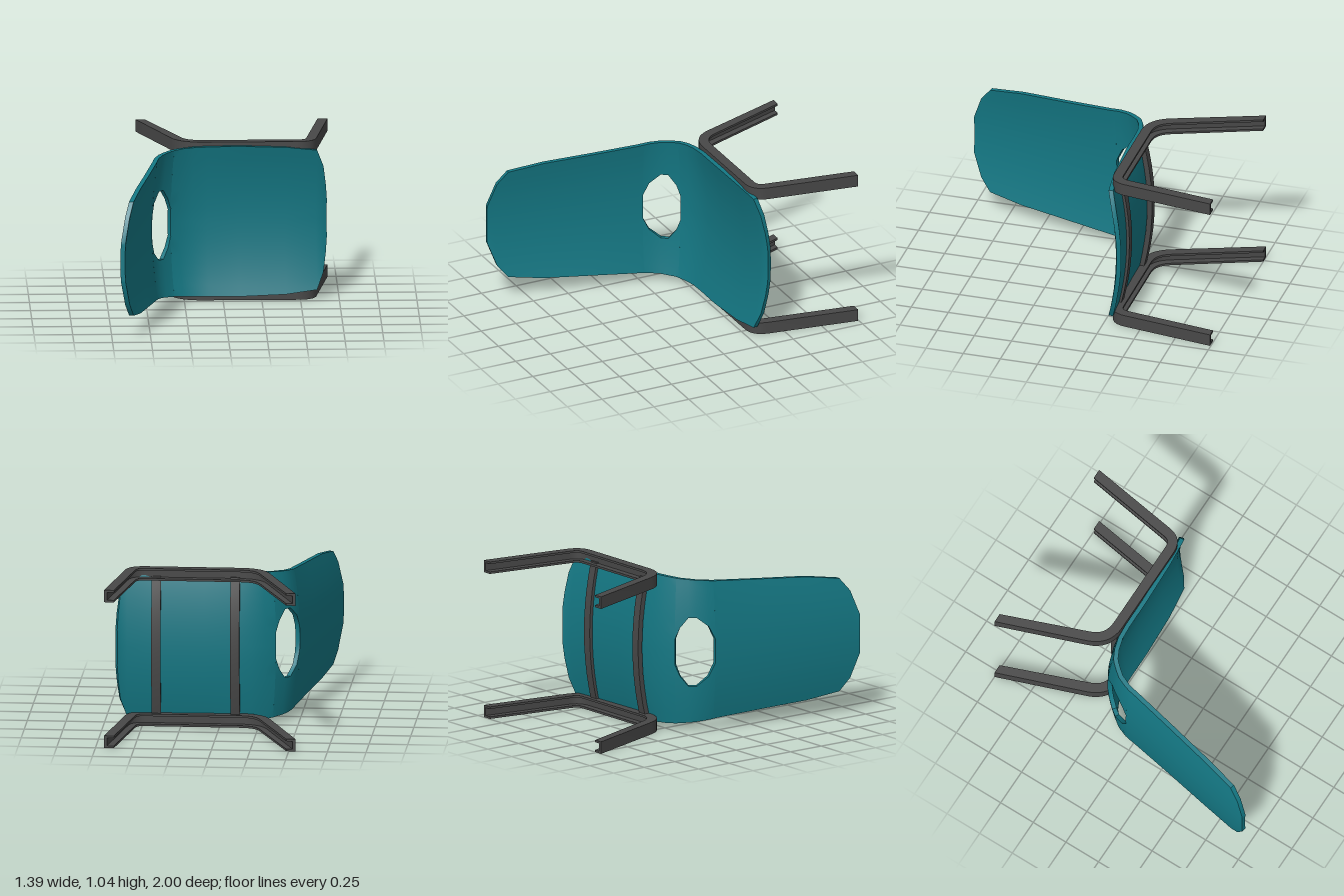
import * as THREE from 'three';
import { toCreasedNormals } from 'three/addons/utils/BufferGeometryUtils.js';

const MID = 0.525; // height of the plane of symmetry
const THICK = 0.03;

const teal = new THREE.MeshStandardMaterial({ color: 0x147884 });
const dark = new THREE.MeshStandardMaterial({ color: 0x484848 });

// Shell sections from top of backrest to front lip:
// x, z of the centre line, half width, dish factor, half width of the hole
const SECTIONS = [
  [-0.67, 1.0, 0.13, 0.25, 0],
  [-0.658, 0.94, 0.29, 0.25, 0],
  [-0.645, 0.87, 0.375, 0.25, 0],
  [-0.6, 0.64, 0.41, 0.24, 0],
  [-0.535, 0.32, 0.432, 0.22, 0],
  [-0.472, 0.01, 0.455, 0.19, 0],
  [-0.466, -0.02, 0.458, 0.18, 0.08],
  [-0.455, -0.06, 0.463, 0.17, 0.165],
  [-0.425, -0.13, 0.47, 0.16, 0.227],
  [-0.395, -0.17, 0.475, 0.16, 0.227],
  [-0.36, -0.21, 0.479, 0.16, 0.16],
  [-0.34, -0.23, 0.482, 0.165, 0.085],
  [-0.28, -0.265, 0.487, 0.18, 0],
  [-0.2, -0.293, 0.49, 0.2, 0],
  [-0.1, -0.308, 0.493, 0.23, 0],
  [0.1, -0.316, 0.495, 0.26, 0],
  [0.4, -0.325, 0.485, 0.26, 0],
  [0.6, -0.336, 0.46, 0.24, 0],
  [0.64, -0.345, 0.35, 0.24, 0],
  [0.66, -0.353, 0.22, 0.24, 0],
  [0.67, -0.358, 0.12, 0.24, 0],
];

// Unit normals of an open polyline, turned left of its direction
function polyNormals(pts) {
  const dirs = pts.slice(1).map((p, i) => p.clone().sub(pts[i]).normalize());
  return pts.map((p, i) => {
    const t = dirs[Math.max(i - 1, 0)].clone().add(dirs[Math.min(i, dirs.length - 1)]).normalize();
    return new THREE.Vector2(-t.y, t.x);
  });
}

// One-piece seat and backrest, dished across its width, with an opening in the bend
function makeShell() {
  const normals = polyNormals(SECTIONS.map(([x, z]) => new THREE.Vector2(x, z)));
  const rows = [];
  SECTIONS.forEach(([x, z, w, k, h], i) => {
    const row = { x, z, w, k, h, n: normals[i] };
    // A closed twin of the first and last hole section gives the hole blunt ends
    if (h && !SECTIONS[i - 1][4]) rows.push({ ...row, h: 0 });
    rows.push(row);
    if (h && !SECTIONS[i + 1][4]) rows.push({ ...row, h: 0 });
  });

  const COLS = 7;
  const pos = [];
  for (const side of [1, -1]) {
    const point = (i, j, back) => {
      const { x, z, w, k, h, n } = rows[i];
      const v = h + (w - h) * j / COLS;
      const off = k * v * v - (back ? THICK : 0);
      return [x + n.x * off, MID + side * v, z + n.y * off];
    };
    const quad = (a, b, c, d, flip) => {
      const order = flip === (side > 0) ? [a, d, c, a, c, b] : [a, b, c, a, c, d];
      order.forEach(p => pos.push(...p));
    };
    const last = rows.length - 1;
    for (let i = 0; i < last; i++) {
      for (let j = 0; j < COLS; j++) {
        for (const back of [false, true]) {
          quad(point(i, j, back), point(i + 1, j, back),
            point(i + 1, j + 1, back), point(i, j + 1, back), back);
        }
      }
      // Outer rim, and hole rim where there is a hole
      const rim = (j, flip) => quad(point(i, j, true), point(i, j, false),
        point(i + 1, j, false), point(i + 1, j, true), flip);
      rim(COLS, false);
      if (rows[i].h || rows[i + 1].h) rim(0, true);
    }
    // End edges at the backrest top and the front lip
    for (let j = 0; j < COLS; j++) {
      for (const i of [0, last]) {
        quad(point(i, j, true), point(i, j + 1, true),
          point(i, j + 1, false), point(i, j, false), i === 0);
      }
    }
  }
  const geo = new THREE.BufferGeometry();
  geo.setAttribute('position', new THREE.Float32BufferAttribute(pos, 3));
  const mesh = new THREE.Mesh(toCreasedNormals(geo, 0.6), teal);
  mesh.name = 'seatShell';
  return mesh;
}

// Bent leg outline in plan: straight leg, round bend, rail under the seat, bend, leg
function legOutline() {
  const c = [[-0.545, -1], [-0.28, -0.285], [0.589, -0.285], [0.695, -0.995]]
    .map(p => new THREE.Vector2(...p));
  const path = new THREE.Path().moveTo(c[0].x, c[0].y);
  [[1, 0.15], [2, 0.11]].forEach(([i, r]) => {
    const toward = q => c[i].clone().add(q.clone().sub(c[i]).setLength(r));
    const a = toward(c[i - 1]), b = toward(c[i + 1]);
    path.lineTo(a.x, a.y);
    path.quadraticCurveTo(c[i].x, c[i].y, b.x, b.y);
  });
  path.lineTo(c[3].x, c[3].y);
  return path.getPoints(8);
}

// Band of the given depth inside the outline, extruded upwards from y
function legBand(depth, height, y, name) {
  const outer = legOutline();
  const normals = polyNormals(outer);
  const inner = outer.map((p, i) => {
    const q = p.clone().addScaledVector(normals[i], -depth);
    if (i === 0 || i === outer.length - 1) q.y = p.y;
    return q;
  });
  const shape = new THREE.Shape([...outer, ...inner.reverse()]
    .map(p => new THREE.Vector2(p.x, -p.y)));
  const geo = new THREE.ExtrudeGeometry(shape, { depth: height, bevelEnabled: false });
  geo.rotateX(-Math.PI / 2);
  const mesh = new THREE.Mesh(toCreasedNormals(geo, 0.6), dark);
  mesh.position.y = y;
  mesh.name = name;
  return mesh;
}

// Channel-section leg frame, open towards the inside of the bend
function makeLegFrame(name, y) {
  const frame = new THREE.Group();
  frame.name = name;
  frame.add(
    legBand(0.02, 0.08, 0, 'legWeb'),
    legBand(0.065, 0.014, 0, 'legFlangeLower'),
    legBand(0.065, 0.014, 0.066, 'legFlangeUpper'),
  );
  frame.position.y = y;
  return frame;
}

// Cross bar curved to follow the underside of the seat
function makeCrossBar(name, x) {
  const edge = z => Array.from({ length: 11 }, (_, i) => {
    const v = -0.46 + 0.092 * i;
    return new THREE.Vector2(-(z + 0.27 * v * v), MID + v);
  });
  const shape = new THREE.Shape([...edge(-0.343), ...edge(-0.376).reverse()]);
  const geo = new THREE.ExtrudeGeometry(shape, { depth: 0.06, bevelEnabled: false });
  geo.rotateY(Math.PI / 2);
  const mesh = new THREE.Mesh(toCreasedNormals(geo, 0.6), dark);
  mesh.position.x = x - 0.03;
  mesh.name = name;
  return mesh;
}

export function createModel() {
  const model = new THREE.Group();
  model.name = 'chair';
  model.add(
    makeShell(),
    makeLegFrame('legFrameLower', 0),
    makeLegFrame('legFrameUpper', 0.963),
    makeCrossBar('crossBarRear', -0.1),
    makeCrossBar('crossBarFront', 0.41),
  );
  return model;
}
